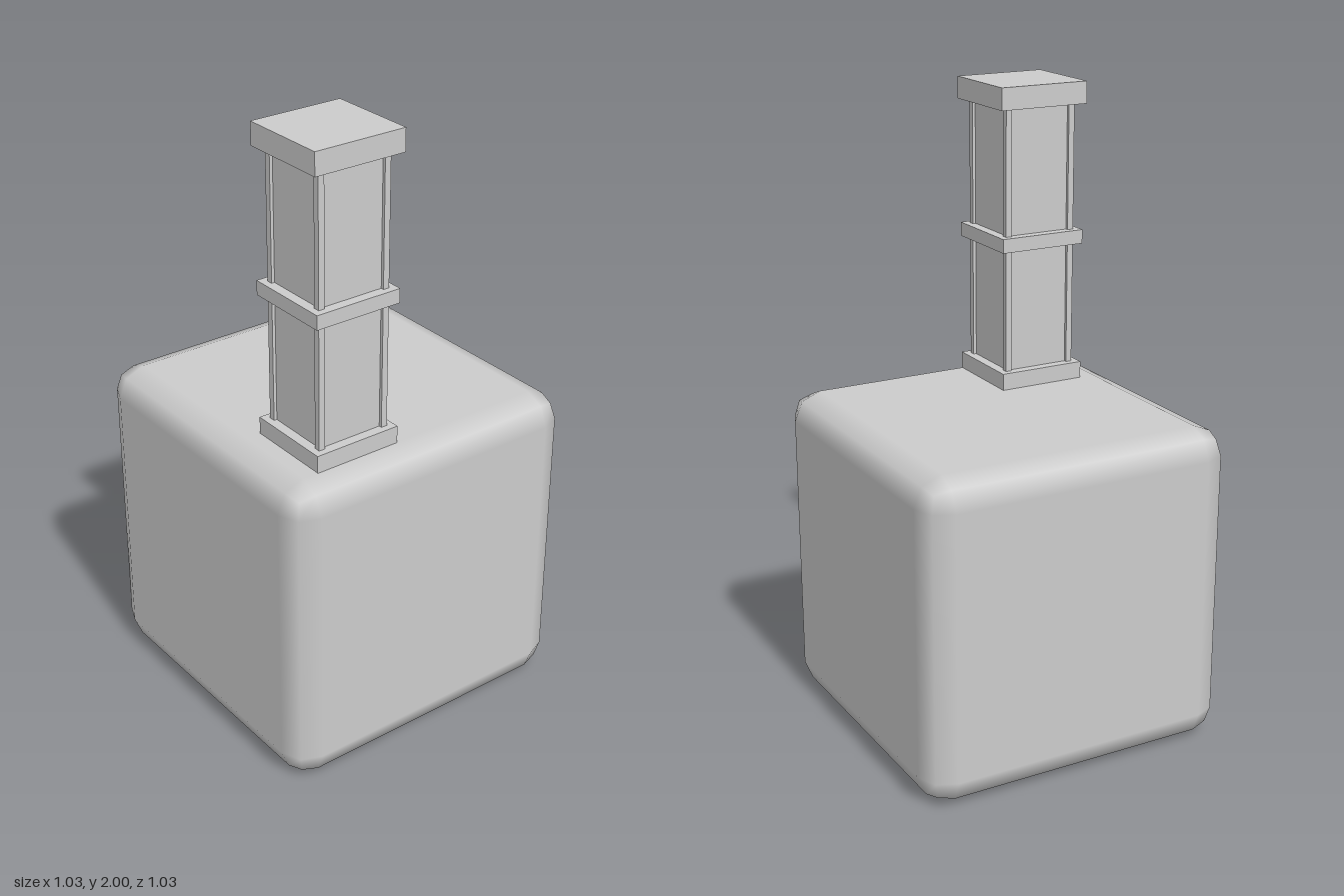
import * as THREE from 'three';
import { RoundedBoxGeometry } from 'three/addons/geometries/RoundedBoxGeometry.js';

export function createModel() {
  const model = new THREE.Group();
  const grey = new THREE.MeshStandardMaterial({ color: 0xcccccc });

  const add = (parent, name, geometry, x, y, z) => {
    const mesh = new THREE.Mesh(geometry, grey);
    mesh.name = name;
    mesh.position.set(x, y, z);
    parent.add(mesh);
  };

  // Rounded cube body, two facets per edge with smooth normals
  const size = 1.032;
  add(model, 'body', new RoundedBoxGeometry(size, size, size, 1, 0.09), 0, 0.004 + size / 2, 0);

  // Square tower near the front right corner
  const tower = new THREE.Group();
  tower.name = 'tower';
  tower.position.set(-0.233, 0, 0.287);
  model.add(tower);

  const slab = (name, width, depth, bottom, top) =>
    add(tower, name, new THREE.BoxGeometry(width, top - bottom, depth), 0, (bottom + top) / 2, 0);

  slab('towerBase', 0.288, 0.284, 1.0, 1.09);
  slab('towerBand', 0.288, 0.284, 1.485, 1.53);
  slab('towerCap', 0.302, 0.29, 1.93, 2.0);

  // Recessed shaft framed by four corner posts
  slab('towerShaft', 0.224, 0.22, 1.05, 1.95);
  const post = new THREE.BoxGeometry(0.02, 0.9, 0.02);
  for (const sx of [-1, 1])
    for (const sz of [-1, 1])
      add(tower, 'cornerPost', post, sx * 0.112, 1.5, sz * 0.11);

  return model;
}
